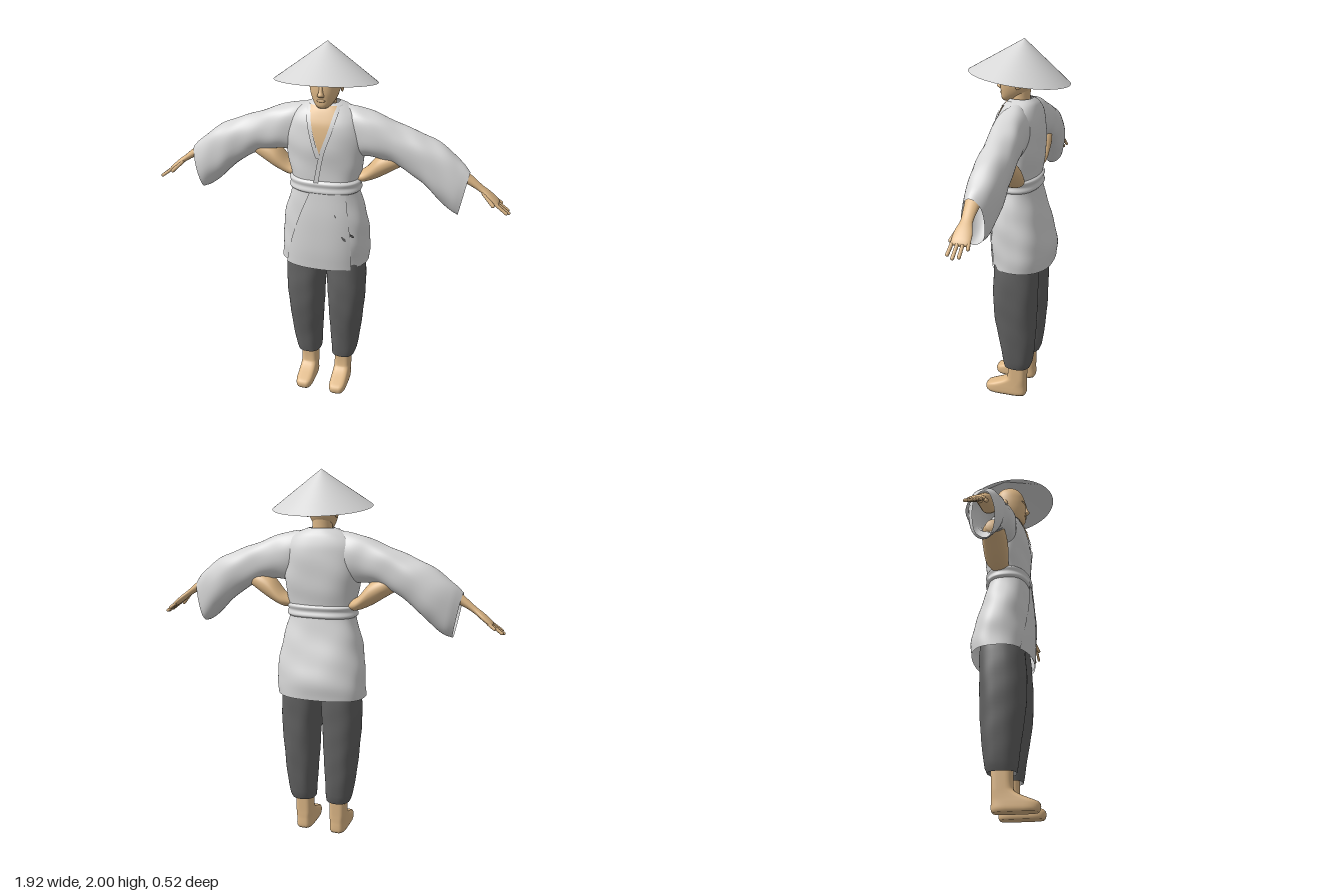
import * as THREE from 'three';

const mat = (name, color) => {
  const m = new THREE.MeshStandardMaterial({ color, side: THREE.DoubleSide });
  m.name = name;
  return m;
};

// Smooth interpolation of table rows [key, v1, v2, ...] at key k
function at(rows, k) {
  let i = 0;
  while (i < rows.length - 2 && k > rows[i + 1][0]) i++;
  const a = rows[i], b = rows[i + 1], p = rows[i - 1] || a, n = rows[i + 2] || b;
  const h = b[0] - a[0], t = (k - a[0]) / h;
  return a.slice(1).map((v, j) => {
    const w = b[j + 1];
    const m0 = (w - p[j + 1]) / (b[0] - p[0]) * h, m1 = (n[j + 1] - v) / (n[0] - a[0]) * h;
    return v + t * t * (3 - 2 * t) * (w - v) + t * (1 - t) * ((1 - t) * m0 - t * m1);
  });
}

function surface(points, index) {
  const g = new THREE.BufferGeometry();
  g.setAttribute('position', new THREE.Float32BufferAttribute(points, 3));
  g.setIndex(index);
  g.computeVertexNormals();
  return g;
}

// Closed cross-sections, rows [key, aMin, aMax, bMin, bMax], rounded by power p
function loft(rows, place, { n = 36, steps = 30, p = 2, fold = 0, caps = false } = {}) {
  const pts = [], idx = [], k0 = rows[0][0], k1 = rows[rows.length - 1][0];
  const soft = v => Math.sign(v) * Math.abs(v) ** (2 / p);
  for (let i = 0; i <= steps; i++) {
    const k = k0 + (k1 - k0) * i / steps, [a0, a1, b0, b1] = at(rows, k);
    for (let j = 0; j < n; j++) {
      const t = j / n * Math.PI * 2;
      const f = 1 + fold * (Math.sin(5 * t + k * 17) + Math.sin(3 * t - k * 41));
      pts.push(...place(k, (a0 + a1) / 2 + (a1 - a0) / 2 * f * soft(Math.cos(t)),
        (b0 + b1) / 2 + (b1 - b0) / 2 * f * soft(Math.sin(t))));
      if (i < steps) {
        const c = i * n + j, d = i * n + (j + 1) % n;
        idx.push(c, c + n, d, d, c + n, d + n);
      }
    }
  }
  if (caps) for (const [k, s] of [[k0, 0], [k1, steps * n]]) {
    const [a0, a1, b0, b1] = at(rows, k), c = pts.length / 3;
    pts.push(...place(k, (a0 + a1) / 2, (b0 + b1) / 2));
    for (let j = 0; j < n; j++) {
      const u = s + j, v = s + (j + 1) % n;
      idx.push(...(s ? [c, v, u] : [c, u, v]));
    }
  }
  return surface(pts, idx);
}

const upright = (k, a, b) => [a, k, b];

// Jacket body: y, left/right extent, back/front extent
const BODY = [
  [0.815, -0.252, 0.232, -0.19, 0.132], [0.9, -0.246, 0.235, -0.195, 0.138],
  [1.0, -0.237, 0.233, -0.172, 0.138], [1.12, -0.215, 0.215, -0.138, 0.134],
  [1.24, -0.18, 0.18, -0.11, 0.122], [1.29, -0.18, 0.18, -0.108, 0.118],
  [1.4, -0.2, 0.2, -0.122, 0.12], [1.5, -0.208, 0.208, -0.125, 0.124],
  [1.6, -0.2, 0.2, -0.118, 0.108], [1.65, -0.172, 0.172, -0.104, 0.086],
  [1.69, -0.11, 0.11, -0.085, 0.062], [1.705, -0.068, 0.068, -0.066, 0.045]];
const BODY_POWER = 2.4;

function bodyFront(x, y) {
  const [x0, x1, z0, z1] = at(BODY, y);
  const u = Math.min(1, Math.abs((2 * x - x0 - x1) / (x1 - x0)));
  return (z0 + z1) / 2 + (z1 - z0) / 2 * (1 - u ** BODY_POWER) ** (1 / BODY_POWER);
}

// Thin layer over the jacket front, rows [y, xMin, xMax]
function layer(rows, off, cols = 12, steps = 16) {
  const pts = [], idx = [], y0 = rows[0][0], y1 = rows[rows.length - 1][0];
  for (let i = 0; i <= steps; i++) {
    const y = y0 + (y1 - y0) * i / steps, [a, b] = at(rows, y);
    for (let j = 0; j <= cols; j++) {
      const x = a + (b - a) * j / cols, c = i * (cols + 1) + j, d = c + cols + 1;
      pts.push(x, y, bodyFront(x, y) + off);
      if (i < steps && j < cols) idx.push(c, c + 1, d, d, c + 1, d + 1);
    }
  }
  return surface(pts, idx);
}

export function createModel() {
  const root = new THREE.Group();
  root.name = 'farmer';
  const cloth = mat('pale cloth', 0xd6d6d6);
  const dark = mat('charcoal cloth', 0x626262);
  const skin = mat('skin', 0xdeb887);
  const add = (name, geo, m) => {
    const mesh = new THREE.Mesh(geo, m);
    mesh.name = name;
    root.add(mesh);
    return mesh;
  };
  const blob = (name, m, x, y, z, sx, sy, sz) => {
    const mesh = add(name, new THREE.SphereGeometry(1, 16, 12), m);
    mesh.position.set(x, y, z);
    mesh.scale.set(sx, sy, sz);
  };
  const finger = (name, from, to, r) => {
    const a = new THREE.Vector3(...from), b = new THREE.Vector3(...to), d = b.clone().sub(a);
    const mesh = add(name, new THREE.CapsuleGeometry(r, d.length(), 4, 8), skin);
    mesh.position.copy(a).add(b).multiplyScalar(0.5);
    mesh.quaternion.setFromUnitVectors(new THREE.Vector3(0, 1, 0), d.normalize());
  };

  // Straw hat, tipped back
  const hat = add('hat', new THREE.ConeGeometry(0.262, 0.192, 64, 6, true), cloth);
  hat.geometry.translate(0, 0.096, 0);
  hat.position.set(0, 1.81, 0.004);
  hat.rotation.x = -0.137;

  // Head, face and neck
  add('head', loft([
    [1.688, -0.025, 0.025, 0.035, 0.088], [1.70, -0.04, 0.04, 0.0, 0.098],
    [1.73, -0.06, 0.06, -0.04, 0.1], [1.77, -0.074, 0.074, -0.064, 0.103],
    [1.82, -0.08, 0.08, -0.072, 0.1], [1.87, -0.075, 0.075, -0.07, 0.088],
    [1.91, -0.052, 0.052, -0.05, 0.06], [1.925, -0.015, 0.015, -0.02, 0.025]],
  upright, { p: 2.2, caps: true }), skin);
  add('neck', loft([[1.6, -0.065, 0.065, -0.06, 0.06], [1.69, -0.053, 0.053, -0.052, 0.048],
    [1.77, -0.052, 0.052, -0.055, 0.045]], upright), skin);
  add('nose', loft([[1.748, -0.016, 0.016, 0.09, 0.108], [1.757, -0.017, 0.017, 0.09, 0.124],
    [1.775, -0.011, 0.011, 0.09, 0.116], [1.81, -0.008, 0.008, 0.085, 0.103]],
  upright, { n: 16, steps: 12, caps: true }), skin);
  blob('lips', skin, 0, 1.729, 0.098, 0.022, 0.007, 0.008);
  blob('brow', skin, 0, 1.812, 0.088, 0.052, 0.009, 0.017);

  // Jacket body, open at the hem
  add('jacketBody', loft(BODY, upright, { n: 72, steps: 56, p: BODY_POWER, fold: 0.008 }), cloth);
  add('overlapPanel', layer([[0.803, -0.2, 0.165], [0.95, -0.165, 0.165], [1.1, -0.115, 0.15],
    [1.25, -0.055, 0.13]], 0.007, 24), cloth);
  add('bareChest', layer([[1.46, -0.002, 0.002], [1.58, -0.042, 0.04], [1.695, -0.072, 0.075]], 0.005), skin);
  add('leftLapel', layer([[1.3, -0.035, -0.01], [1.46, -0.002, 0.022], [1.58, 0.039, 0.062],
    [1.697, 0.07, 0.09]], 0.009, 6), cloth);
  add('rightLapel', layer([[1.44, -0.022, 0.0], [1.58, -0.063, -0.041], [1.697, -0.09, -0.068]], 0.008, 6), cloth);
  add('belt', loft([
    [1.238, -0.178, 0.178, -0.108, 0.12], [1.25, -0.193, 0.193, -0.12, 0.132],
    [1.275, -0.188, 0.188, -0.114, 0.127], [1.298, -0.193, 0.193, -0.12, 0.13],
    [1.312, -0.178, 0.178, -0.105, 0.117]], upright, { n: 64, p: BODY_POWER }), cloth);

  // Small tears in the skirt
  for (const [x, y, w, h] of [[0.13, 1.0, 0.012, 0.015], [0.17, 1.015, 0.01, 0.012], [0.085, 1.13, 0.005, 0.01]])
    add('tear', layer([[y - h, x + w * 0.6, x + w], [y, x - w * 0.6, x + w * 0.8], [y + h, x - w, x - w * 0.6]],
      0.011, 3, 6), dark);

  for (const s of [1, -1]) {
    const side = s > 0 ? 'left' : 'right';
    const sideways = (k, a, b) => [s * k, a, b];
    const vertical = (k, a, b) => [s * a, k, b];

    // Wide sleeve with a slanted open cuff
    add(side + 'Sleeve', loft([
      [0.1, 1.45, 1.686, -0.085, 0.06], [0.17, 1.43, 1.682, -0.095, 0.075],
      [0.25, 1.43, 1.66, -0.095, 0.08], [0.36, 1.405, 1.615, -0.1, 0.07],
      [0.5, 1.325, 1.56, -0.104, 0.07], [0.6, 1.245, 1.512, -0.098, 0.07],
      [0.7, 1.18, 1.438, -0.074, 0.065], [0.745, 1.165, 1.397, -0.05, 0.058]],
    (k, a, b) => [s * (k + 0.19 * (a - 1.4) * ((k - 0.05) / 0.7) ** 2), a, b],
    { n: 48, steps: 48, p: 2.2, fold: 0.014 }), cloth);

    // Bare underarm gusset between waist and sleeve
    add(side + 'Underarm', loft([
      [0.16, 1.28, 1.33, -0.06, 0.03], [0.21, 1.285, 1.36, -0.085, 0.035],
      [0.28, 1.315, 1.44, -0.09, 0.045], [0.36, 1.365, 1.47, -0.08, 0.04],
      [0.41, 1.395, 1.46, -0.05, 0.02]], sideways, { caps: true }), skin);

    // Forearm and hand
    add(side + 'Arm', loft([
      [0.55, 1.4, 1.49, -0.045, 0.045], [0.7, 1.35, 1.42, -0.038, 0.042],
      [0.76, 1.325, 1.375, -0.03, 0.034], [0.81, 1.295, 1.333, -0.028, 0.03],
      [0.85, 1.264, 1.303, -0.042, 0.042], [0.885, 1.241, 1.272, -0.045, 0.044],
      [0.9, 1.238, 1.256, -0.038, 0.038]], sideways, { n: 24, caps: true }), skin);
    [0.91, 0.945, 0.952, 0.94].forEach((x, i) => {
      const z = -0.036 + i * 0.024;
      finger(side + 'Finger', [s * 0.88, 1.256, z], [s * x, 1.256 - (x - 0.88) * 0.72, z * 1.15], 0.0085);
    });
    finger(side + 'Thumb', [s * 0.82, 1.3, 0.025], [s * 0.872, 1.25, 0.051], 0.01);
    blob(side + 'Ear', skin, s * 0.08, 1.785, -0.01, 0.009, 0.03, 0.018);

    // Trouser leg
    add(side + 'TrouserLeg', loft([
      [0.19, 0.036, 0.168, -0.088, 0.058], [0.22, 0.034, 0.178, -0.1, 0.064],
      [0.35, 0.028, 0.198, -0.116, 0.082], [0.5, 0.02, 0.212, -0.126, 0.106],
      [0.65, 0.012, 0.222, -0.13, 0.114], [0.82, 0.002, 0.217, -0.132, 0.106],
      [0.95, -0.01, 0.19, -0.12, 0.1]], vertical, { p: 2.4, fold: 0.007, n: 48 }), dark);

    // Ankle and foot
    add(side + 'Foot', loft([
      [0, 0.056, 0.142, -0.062, 0.16], [0.012, 0.051, 0.148, -0.067, 0.17],
      [0.045, 0.051, 0.148, -0.067, 0.168], [0.06, 0.052, 0.147, -0.066, 0.135],
      [0.085, 0.053, 0.146, -0.066, 0.075], [0.11, 0.054, 0.146, -0.066, 0.043],
      [0.24, 0.055, 0.147, -0.07, 0.04]], vertical, { p: 3.6, n: 40, caps: true }), skin);
  }
  return root;
}
